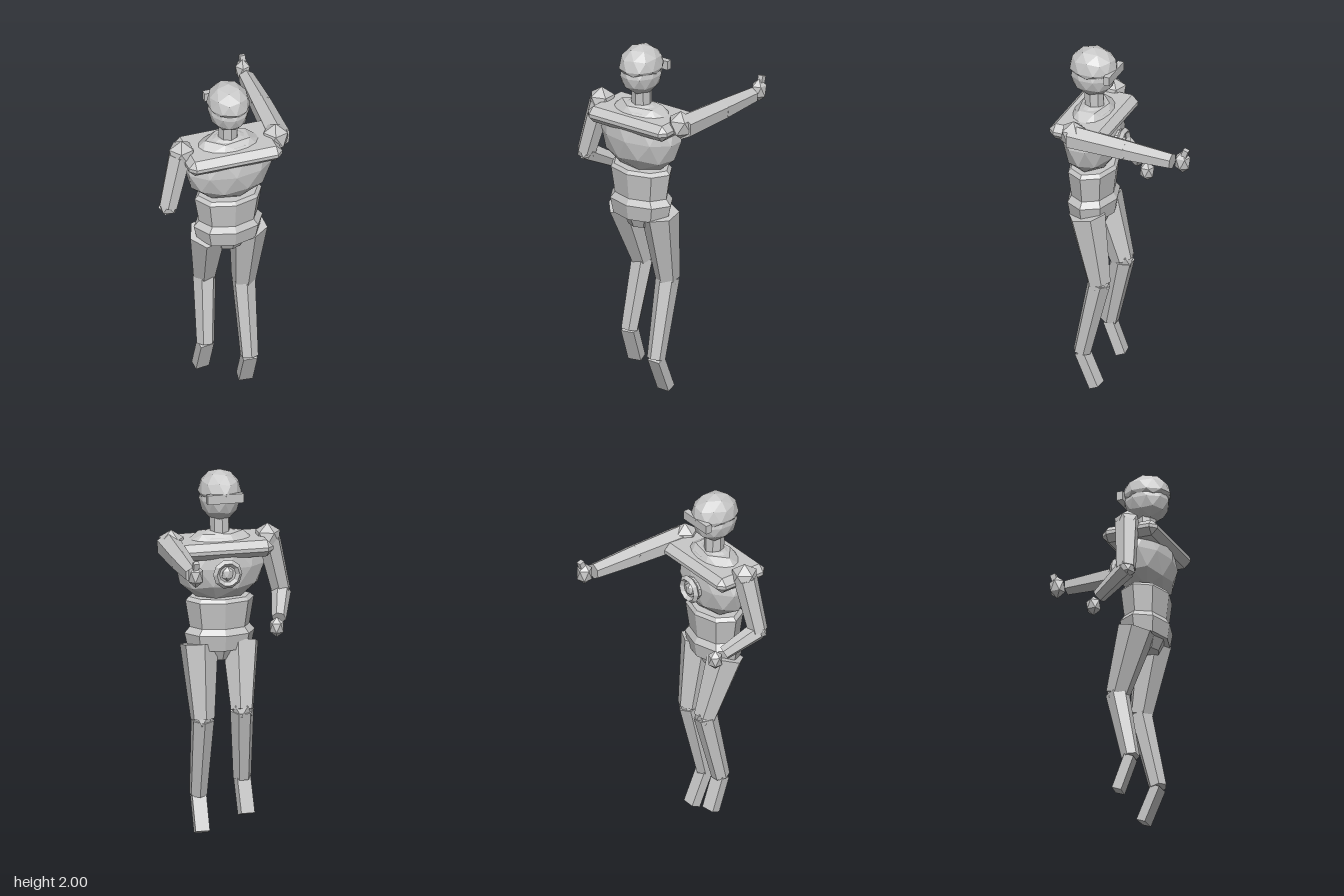
import * as THREE from 'three';
import { ConvexGeometry } from 'three/addons/geometries/ConvexGeometry.js';

export function createModel() {
  const root = new THREE.Group();
  root.name = 'figure';
  const grey = new THREE.MeshStandardMaterial({ color: 0xc8c8c8 });
  grey.name = 'plain grey';
  grey.flatShading = true;

  const add = (name, geometry, x = 0, y = 0, z = 0) => {
    const mesh = new THREE.Mesh(geometry, grey);
    mesh.name = name;
    mesh.position.set(x, y, z);
    root.add(mesh);
    return mesh;
  };
  // Faceted ball with a corner at the top, optionally cut flat at low and high
  const ball = (name, [x, y, z], [rx, ry, rz], detail = 0, low = -1, high = 1) => {
    const g = new THREE.IcosahedronGeometry(1, detail).rotateZ(Math.atan(2 / (1 + Math.sqrt(5))));
    const p = g.attributes.position;
    for (let i = 0; i < p.count; i++) p.setY(i, THREE.MathUtils.clamp(p.getY(i), low, high));
    g.scale(rx, ry, rz).computeVertexNormals();
    return add(name, g, x, y, z);
  };

  // Tapered limb segment running from point a to point b
  const limb = (name, a, b, ra, rb, sides = 6, turn = 0) => {
    const from = new THREE.Vector3(...a), to = new THREE.Vector3(...b);
    const dir = to.clone().sub(from);
    const g = new THREE.CylinderGeometry(rb, ra, dir.length(), sides).rotateY(turn);
    const mesh = add(name, g);
    mesh.position.copy(from).add(to).multiplyScalar(0.5);
    mesh.quaternion.setFromUnitVectors(new THREE.Vector3(0, 1, 0), dir.normalize());
    return mesh;
  };
  // Faceted body section from [radius, y] points
  const section = (name, points, depth, sides = 8) =>
    add(name, new THREE.LatheGeometry(points.map(p => new THREE.Vector2(...p)), sides).scale(1, 1, depth), 0.02, 0, 0.265);

  // Box with every edge and corner cut by c; a, b, d are half sizes
  const chamferBox = (a, b, d, c) => {
    const points = [];
    for (const x of [-1, 1]) for (const y of [-1, 1]) for (const z of [-1, 1]) {
      points.push(
        new THREE.Vector3(x * a, y * (b - c), z * (d - c)),
        new THREE.Vector3(x * (a - c), y * b, z * (d - c)),
        new THREE.Vector3(x * (a - c), y * (b - c), z * d));
    }
    return new ConvexGeometry(points);
  };

  // Head and cap
  ball('head', [0.02, 1.838, 0.268], [0.11, 0.118, 0.126], 1);
  ball('cap', [0.02, 1.88, 0.267], [0.116, 0.12, 0.136], 1, -0.2);
  add('visor', new THREE.BoxGeometry(0.2, 0.05, 0.034), 0.02, 1.865, 0.15);
  limb('neck', [0.02, 1.62, 0.26], [0.02, 1.76, 0.265], 0.055, 0.055, 8);
  section('collar', [[0, 1.6], [0.15, 1.61], [0.135, 1.635], [0.07, 1.665], [0, 1.665]], 0.68, 12);

  // Torso
  add('shoulderBar', chamferBox(0.265, 0.045, 0.16, 0.035), 0.02, 1.578, 0.265);
  ball('chest', [0.02, 1.48, 0.265], [0.247, 0.22, 0.15], 1, -0.8, 0.8);
  section('waist', [[0, 1.13], [0.165, 1.135], [0.19, 1.285], [0.17, 1.305], [0, 1.305]], 0.69);
  section('hips', [[0, 1.02], [0.175, 1.02], [0.195, 1.105], [0.165, 1.14], [0, 1.14]], 0.69);
  limb('pelvis', [0.02, 0.96, 0.265], [0.02, 1.04, 0.265], 0.07, 0.11, 8);

  // Round chest plate
  add('chestRing', new THREE.TorusGeometry(0.063, 0.018, 4, 10), 0.02, 1.46, 0.095);
  ball('chestCore', [0.02, 1.46, 0.1], [0.035, 0.04, 0.02]);
  limb('chestPlate', [0.02, 1.46, 0.13], [0.02, 1.46, 0.1], 0.065, 0.065, 10);

  // Arms: left stretched out, right bent
  const arms = [
    { side: 'left', s: [0.287, 1.6, 0.27], a: [0.3, 1.592, 0.28], e: [0.314, 1.585, -0.05],
      w: [0.322, 1.58, -0.32], r: [0.07, 0.06, 0.045], h: [0.323, 1.59, -0.38], hs: [0.045, 0.065, 0.048] },
    { side: 'right', s: [-0.245, 1.605, 0.265], a: [-0.253, 1.6, 0.265], e: [-0.328, 1.3, 0.292],
      w: [-0.268, 1.195, 0.11], r: [0.066, 0.054, 0.039], h: [-0.245, 1.157, 0.068], hs: [0.043, 0.056, 0.044] },
  ];
  for (const { side, s, a, e, w, r, h, hs } of arms) {
    ball(side + 'Shoulder', s, [0.077, 0.08, 0.077]);
    limb(side + 'UpperArm', a, e, r[0], r[1]);
    ball(side + 'Elbow', e, [r[1], r[1], r[1]]);
    limb(side + 'Forearm', e, w, r[1], r[2]);
    ball(side + 'Hand', h, hs);
  }
  const thumb = add('leftThumb', new THREE.BoxGeometry(0.03, 0.06, 0.03), 0.327, 1.64, -0.395);
  thumb.rotation.x = -0.3;

  // Legs with the toes hanging down
  const legs = [
    { side: 'left', hip: [0.137, 1.045, 0.255], knee: [0.135, 0.645, 0.185], ankle: [0.133, 0.205, 0.285], toe: [0.135, 0.014, 0.2] },
    { side: 'right', hip: [-0.092, 1.045, 0.255], knee: [-0.07, 0.695, 0.135], ankle: [-0.093, 0.3, 0.22], toe: [-0.098, 0.112, 0.15] },
  ];
  for (const { side, hip, knee, ankle, toe } of legs) {
    limb(side + 'Thigh', hip, knee, 0.105, 0.066);
    ball(side + 'Knee', knee, [0.064, 0.064, 0.064]);
    limb(side + 'Shin', knee, ankle, 0.065, 0.05);
    limb(side + 'Foot', ankle, toe, 0.055, 0.055, 4, Math.PI / 4).scale.z = 0.7;
  }
  return root;
}
